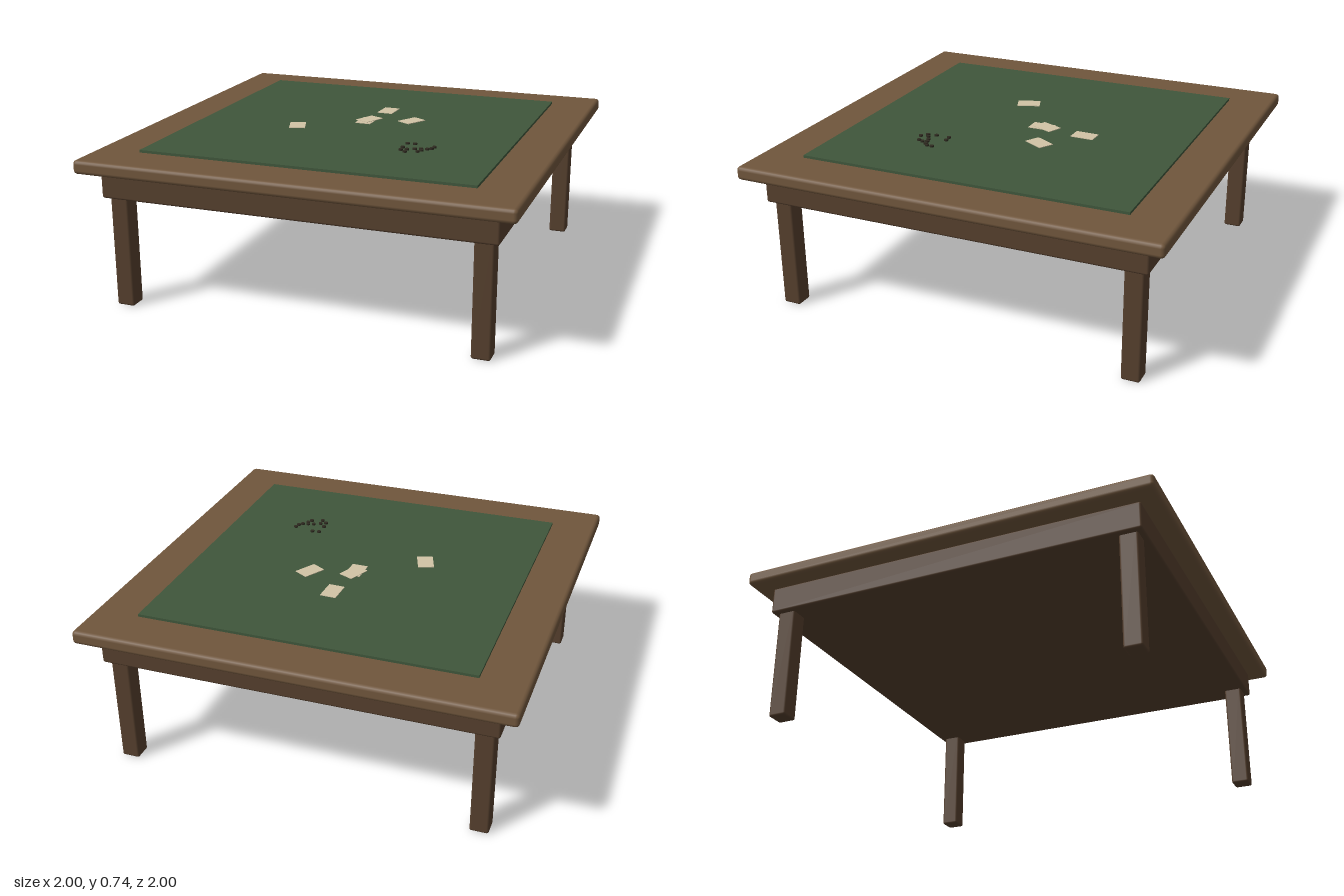
import * as THREE from 'three';
import { RoundedBoxGeometry } from 'three/addons/geometries/RoundedBoxGeometry.js';

const paint = (color) => new THREE.MeshStandardMaterial({ color });

export function createModel() {
  const model = new THREE.Group();
  const topWood = paint(0x70563c);
  const darkWood = paint(0x553f2d);
  const feltGreen = paint(0x3f563b);
  const cardCream = paint(0xd2c4a6);
  const chipDark = paint(0x2e2a20);

  const add = (name, geometry, material, x, y, z, turn = 0) => {
    const mesh = new THREE.Mesh(geometry, material);
    mesh.name = name;
    mesh.position.set(x, y, z);
    mesh.rotation.y = turn;
    model.add(mesh);
    return mesh;
  };

  // Table top, solid apron below it and the felt inlay
  add('tableTop', new RoundedBoxGeometry(2, 0.064, 2, 2, 0.018), topWood, 0, 0.683, 0);
  add('apron', new RoundedBoxGeometry(1.826, 0.128, 1.826, 2, 0.01), darkWood, 0, 0.588, 0);
  add('felt', new THREE.BoxGeometry(1.568, 0.016, 1.568), feltGreen, 0, 0.719, 0);

  // Four legs
  const legGeometry = new RoundedBoxGeometry(0.086, 0.54, 0.086, 2, 0.01);
  for (const x of [-1, 1]) {
    for (const z of [-1, 1]) {
      add(`${z > 0 ? 'front' : 'back'}${x > 0 ? 'Left' : 'Right'}Leg`,
        legGeometry, darkWood, x * 0.844, 0.27, z * 0.844);
    }
  }

  // Loose cards: x, z, turn, lift
  const cardGeometry = new THREE.BoxGeometry(0.077, 0.003, 0.113);
  [
    [0.037, -0.297, -0.04, 0],
    [0.211, -0.137, -0.53, 0],
    [-0.286, 0.133, 0.34, 0],
    [0.002, -0.063, -0.03, 0],
    [0.006, -0.09, -0.42, 0.002],
  ].forEach(([x, z, turn, lift], i) =>
    add(`card${i + 1}`, cardGeometry, cardCream, x, 0.7285 + lift, z, turn));

  // Scattered small chips: x, z
  const chipGeometry = new THREE.CylinderGeometry(0.01, 0.01, 0.008, 12);
  [
    [0.323, 0.278], [0.358, 0.275], [0.321, 0.345], [0.326, 0.388], [0.35, 0.374],
    [0.353, 0.412], [0.382, 0.356], [0.409, 0.348], [0.417, 0.369], [0.406, 0.393],
    [0.436, 0.342], [0.452, 0.326], [0.457, 0.299],
  ].forEach(([x, z], i) => add(`chip${i + 1}`, chipGeometry, chipDark, x, 0.731, z));

  return model;
}
